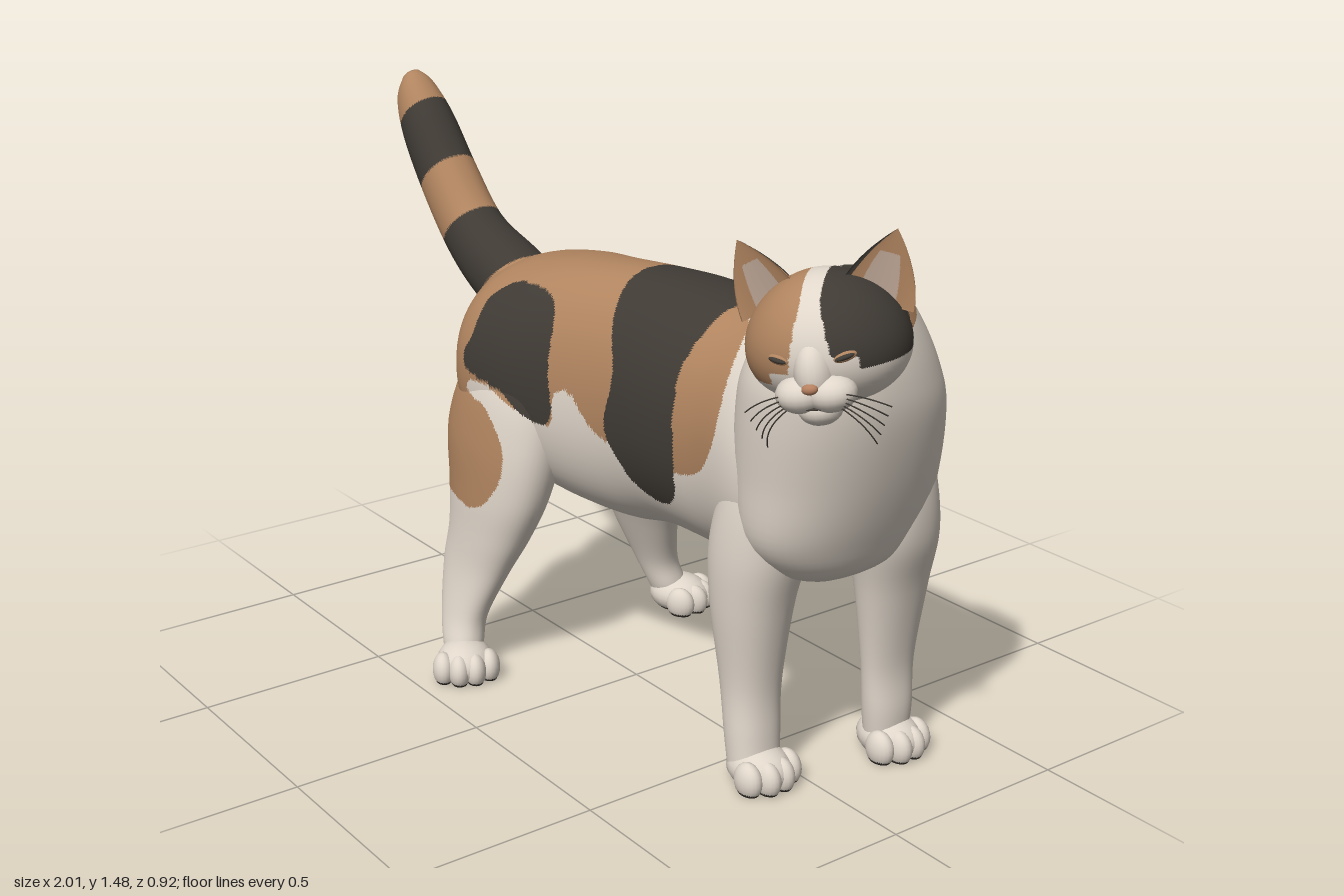
import * as THREE from 'three';
import { mergeGeometries } from 'three/addons/utils/BufferGeometryUtils.js';

const mat = (name, color) => Object.assign(new THREE.MeshStandardMaterial({ color }), { name });
const WHITE = 0, BROWN = 1, DARK = 2, INNER = 3;

// Smooth closed outline of a coat patch, in x and y
const patch = (pts) => new THREE.SplineCurve([...pts, pts[0]].map((p) => new THREE.Vector2(...p))).getPoints(90);
function inside(poly, x, y) {
  let hit = false;
  for (let i = 0, j = poly.length - 1; i < poly.length; j = i++) {
    const a = poly[i], b = poly[j];
    if (a.y > y !== b.y > y && x < ((b.x - a.x) * (y - a.y)) / (b.y - a.y) + a.x) hit = !hit;
  }
  return hit;
}
const stripe = patch([[0.02, 1.16], [0.1, 1], [0.14, 0.9], [0.12, 0.77], [0.17, 0.67], [0.22, 0.62], [0.29, 0.61],
  [0.34, 0.66], [0.35, 0.78], [0.34, 0.95], [0.33, 1.16]]);
const spot = patch([[-0.33, 1], [-0.27, 1.05], [-0.14, 1.05], [-0.08, 1], [-0.06, 0.87], [-0.05, 0.76], [-0.1, 0.73],
  [-0.2, 0.79], [-0.33, 0.82], [-0.355, 0.86], [-0.33, 0.92]]);
const saddle = patch([[-0.6, 1.2], [-0.6, 0.48], [-0.41, 0.48], [-0.26, 0.47], [-0.18, 0.55], [-0.17, 0.65], [-0.24, 0.74],
  [-0.33, 0.76], [-0.33, 0.79], [-0.27, 0.8], [-0.1, 0.74], [-0.05, 0.74], [-0.04, 0.82], [0.01, 0.83], [0.07, 0.76],
  [0.14, 0.73], [0.3, 0.71], [0.44, 0.74], [0.51, 0.83], [0.52, 0.92], [0.5, 1.01], [0.46, 1.07], [0.4, 1.1], [0.36, 1.2]]);

function bodyCoat(p) {
  if (p.x < -0.1 && p.y < 0.75 && Math.abs(p.z) < 0.14 + 0.3 * (0.75 - p.y)) return WHITE;
  if (-0.74 * p.x + 0.67 * p.y > 1.01 && p.x < -0.3 && Math.abs(p.z - 0.04) < 0.12) return DARK;
  if (inside(stripe, p.x, p.y) || inside(spot, p.x, p.y)) return DARK;
  return inside(saddle, p.x, p.y) ? BROWN : WHITE;
}
function tailCoat(p) {
  const s = -0.74 * p.x + 0.67 * p.y;
  return s < 1.01 ? BROWN : s < 1.23 ? DARK : s < 1.405 ? BROWN : s < 1.59 ? DARK : BROWN;
}
// Face patches in the head's own frame: white blaze, brown right, dark left with brown behind the ear
function headCoat(p) {
  const x = p.x, back = Math.max(0, -p.z);
  if (p.z < -0.15 || Math.abs(x) < 0.022 + 0.22 * Math.max(0, 0.1 - p.y)) return WHITE;
  if (p.y < (x > 0 ? -0.045 : -0.075) + 0.5 * back + (Math.abs(x) < 0.1 ? 0.03 : 0)) return WHITE;
  return x < 0 || (x > 0.09 && p.z < -0.06) ? BROWN : DARK;
}

// One group per colour; triangles that straddle a colour edge are split to keep the edge crisp
function paint(geo, coat, depth = 2) {
  const idx = geo.index.array, sets = [[], [], [], []];
  const corner = (i) => {
    const p = new THREE.Vector3().fromBufferAttribute(geo.attributes.position, i);
    return { p, n: new THREE.Vector3().fromBufferAttribute(geo.attributes.normal, i), c: coat(p) };
  };
  const half = (a, b) => {
    const p = a.p.clone().lerp(b.p, 0.5);
    return { p, n: a.n.clone().add(b.n).normalize(), c: coat(p) };
  };
  const emit = (a, b, c, d) => {
    if (d === 0 || (a.c === b.c && b.c === c.c)) {
      sets[b.c === c.c ? b.c : a.c].push(a, b, c);
      return;
    }
    const ab = half(a, b), bc = half(b, c), ca = half(c, a);
    for (const t of [[a, ab, ca], [ab, b, bc], [ca, bc, c], [ab, bc, ca]]) emit(...t, d - 1);
  };
  const corners = Array.from({ length: geo.attributes.position.count }, (_, i) => corner(i));
  for (let i = 0; i < idx.length; i += 3) emit(corners[idx[i]], corners[idx[i + 1]], corners[idx[i + 2]], depth);
  const all = sets.flat(), out = new THREE.BufferGeometry().setFromPoints(all.map((v) => v.p));
  out.setAttribute('normal', new THREE.Float32BufferAttribute(all.flatMap((v) => v.n.toArray()), 3));
  let start = 0;
  sets.forEach((s, m) => { if (s.length) out.addGroup(start, s.length, m); start += s.length; });
  return out;
}

// Closed skin through rows of numbers; place() turns a row and a ring direction into a point
function loft(rows, place, steps = 6, ring = 48) {
  const pts = [], idx = [], n = (rows.length - 1) * steps;
  const at = (i) => rows[Math.min(Math.max(i, 0), rows.length - 1)];
  const soft = (c) => Math.sign(c) * Math.abs(c) ** 0.93;
  for (let s = 0; s <= n; s++) {
    const i = Math.min(Math.floor(s / steps), rows.length - 2), t = s / steps - i;
    const row = at(i).map((b, k) => {
      const a = at(i - 1)[k], c = at(i + 1)[k], d = at(i + 2)[k];
      return b + 0.5 * t * (c - a + t * (2 * a - 5 * b + 4 * c - d + t * (3 * (b - c) + d - a)));
    });
    for (let j = 0; j < ring; j++) {
      const w = (j / ring) * Math.PI * 2;
      pts.push(place(row, soft(Math.cos(w)), soft(Math.sin(w))));
    }
  }
  for (let s = 0; s < n; s++) for (let j = 0; j < ring; j++) {
    const a = s * ring + j, b = s * ring + ((j + 1) % ring);
    idx.push(a, b, a + ring, b, b + ring, a + ring);
  }
  for (const [base, flip] of [[0, true], [n * ring, false]]) {
    pts.push(pts[base].clone().lerp(pts[base + ring / 2], 0.5));
    for (let j = 0; j < ring; j++) {
      const a = base + j, b = base + ((j + 1) % ring);
      idx.push(pts.length - 1, flip ? b : a, flip ? a : b);
    }
  }
  // Turn the skin outward
  let vol = 0;
  for (let i = 0; i < idx.length; i += 3) vol += pts[idx[i]].dot(pts[idx[i + 1]].clone().cross(pts[idx[i + 2]]));
  if (vol < 0) idx.reverse();
  const geo = new THREE.BufferGeometry().setFromPoints(pts);
  geo.setIndex(idx);
  geo.computeVertexNormals();
  return geo;
}
const mix = (a, b, c) => (a + b) / 2 + ((b - a) / 2) * c;
// Rows [x, bottom, top, zMin, zMax] and [y, xMin, xMax, zMin, zMax]
const alongX = (r, c, s) => new THREE.Vector3(r[0], mix(r[1], r[2], c), mix(r[3], r[4], s));
const alongY = (r, c, s) => new THREE.Vector3(mix(r[1], r[2], c), r[0], mix(r[3], r[4], s));
const alongTail = (r, c, s) => new THREE.Vector3(r[0] + 0.67 * r[2] * c, r[1] + 0.74 * r[2] * c, 0.06 + 0.9 * r[2] * s);

export function createModel() {
  const cat = new THREE.Group();
  const coatMats = [mat('whiteFur', 0xe0d6ca), mat('brownFur', 0xb0845f), mat('darkFur', 0x3f3a34), mat('innerEar', 0xbfa898)];
  const noseMat = mat('nosePink', 0xb5805f);
  const add = (parent, name, geo, material = coatMats) => {
    const m = new THREE.Mesh(geo, material);
    m.name = name;
    parent.add(m);
    return m;
  };
  const ball = (x, y, z, rx, ry, rz) => new THREE.SphereGeometry(1, 20, 12).scale(rx, ry, rz).translate(x, y, z);

  // Head frame, turned and tilted
  const head = new THREE.Group();
  head.name = 'head';
  head.position.set(0.78, 1.15, 0.06);
  head.rotation.set(0, 0.61, 0.15, 'YXZ');
  head.updateMatrix();
  cat.add(head);
  const toHead = head.matrix.clone().invert();

  // Trunk, neck and tail
  add(cat, 'body', paint(loft([[-0.53, 0.82, 0.92, 0, 0.06], [-0.505, 0.68, 0.99, -0.14, 0.18], [-0.4, 0.54, 1.07, -0.26, 0.285],
    [-0.25, 0.5, 1.105, -0.275, 0.285], [-0.1, 0.475, 1.12, -0.25, 0.245], [0.05, 0.465, 1.125, -0.27, 0.2],
    [0.2, 0.485, 1.12, -0.31, 0.175], [0.4, 0.475, 1.1, -0.335, 0.15], [0.6, 0.49, 1.09, -0.34, 0.175],
    [0.74, 0.55, 1.02, -0.29, 0.14], [0.8, 0.66, 0.95, -0.2, 0.08], [0.82, 0.78, 0.85, -0.1, 0]], alongX, 8, 64), bodyCoat));
  add(cat, 'neck', paint(loft([[0.51, 0.6, 0.7, -0.14, 0], [0.56, 0.55, 0.78, -0.25, 0.1], [0.65, 0.52, 0.825, -0.325, 0.17],
    [0.8, 0.49, 0.875, -0.33, 0.185], [0.95, 0.5, 0.91, -0.305, 0.195], [1.05, 0.53, 0.915, -0.262, 0.19],
    [1.15, 0.59, 0.9, -0.2, 0.15], [1.24, 0.66, 0.87, -0.125, 0.09], [1.275, 0.72, 0.82, -0.07, 0.05]], alongY), (p) =>
    p.y > 1.08 ? headCoat(p.clone().applyMatrix4(toHead)) : bodyCoat(p)));
  add(cat, 'tail', paint(loft([[-0.38, 0.96, 0.11], [-0.52, 1.015, 0.105], [-0.66, 1.085, 0.09], [-0.78, 1.205, 0.086],
    [-0.885, 1.335, 0.08], [-0.95, 1.42, 0.06], [-0.972, 1.462, 0.03]], alongTail), tailCoat));

  // Legs
  const hind = [[0.97, -0.38, -0.17, 0.1, 0.18], [0.8, -0.465, -0.1, 0.08, 0.28], [0.65, -0.505, -0.09, 0.09, 0.318],
    [0.5, -0.475, -0.115, 0.13, 0.33], [0.38, -0.458, -0.165, 0.17, 0.335], [0.27, -0.46, -0.22, 0.215, 0.345],
    [0.15, -0.42, -0.265, 0.265, 0.37], [0.07, -0.375, -0.26, 0.29, 0.39], [0.02, -0.355, -0.27, 0.31, 0.38]];
  const legs = {
    rightFrontLeg: [[0.88, 0.54, 0.7, 0, 0.11], [0.75, 0.5, 0.72, -0.02, 0.165], [0.6, 0.465, 0.71, -0.03, 0.186],
      [0.45, 0.475, 0.675, -0.01, 0.182], [0.25, 0.505, 0.645, 0.01, 0.16], [0.12, 0.53, 0.65, 0.02, 0.16], [0.03, 0.55, 0.66, 0.03, 0.16]],
    leftFrontLeg: [[0.88, 0.62, 0.8, -0.27, -0.12], [0.75, 0.6, 0.82, -0.31, -0.12], [0.6, 0.6, 0.81, -0.342, -0.12],
      [0.45, 0.62, 0.765, -0.345, -0.15], [0.25, 0.635, 0.73, -0.33, -0.18], [0.12, 0.635, 0.735, -0.325, -0.19], [0.03, 0.64, 0.73, -0.315, -0.2]],
    rightHindLeg: hind,
    leftHindLeg: hind.map(([y, a, b, c, d]) => [y, a, b, -d, -c]),
  };
  for (const [name, rows] of Object.entries(legs)) add(cat, name, paint(loft(rows, alongY), bodyCoat));

  // Paws with four soft toes and flat dark soles
  function paw(name, x, z, yaw) {
    const parts = [ball(0, 0.045, 0, 0.088, 0.055, 0.074)];
    [-0.06, -0.021, 0.021, 0.06].forEach((t) => parts.push(ball(0.058 - 7 * t * t, 0.038, t, 0.042, 0.046, 0.029)));
    const geo = mergeGeometries(parts).rotateY(yaw).translate(x, 0, z);
    const pos = geo.attributes.position;
    for (let i = 0; i < pos.count; i++) pos.setY(i, Math.max(0.004, pos.getY(i)) - 0.004);
    geo.computeVertexNormals();
    add(cat, name, paint(geo, (p) => (p.y < 0.008 ? DARK : WHITE), 1));
  }
  paw('rightFrontPaw', 0.625, 0.095, 0);
  paw('leftFrontPaw', 0.693, -0.262, 0);
  paw('rightHindPaw', -0.275, 0.362, -0.45);
  paw('leftHindPaw', -0.285, -0.362, 0.45);

  // Skull, fuller at the cheeks
  const skull = new THREE.SphereGeometry(1, 56, 40);
  const sp = skull.attributes.position;
  for (let i = 0; i < sp.count; i++) {
    const y = sp.getY(i);
    sp.setXYZ(i, sp.getX(i) * (0.182 - 0.02 * y), y * 0.15 - 0.005, sp.getZ(i) * (0.165 - 0.015 * y));
  }
  skull.computeVertexNormals();
  add(head, 'skull', paint(skull, headCoat));

  // Muzzle, chin and nose
  add(head, 'muzzle', mergeGeometries([ball(0.033, -0.09, 0.145, 0.056, 0.042, 0.052), ball(-0.033, -0.09, 0.145, 0.056, 0.042, 0.052),
    ball(0, -0.05, 0.135, 0.045, 0.075, 0.058), ball(0, -0.128, 0.125, 0.05, 0.038, 0.05)]), coatMats[WHITE]);
  add(head, 'nose', ball(0, -0.068, 0.191, 0.018, 0.012, 0.012), noseMat);
  add(head, 'mouth', ball(0, -0.116, 0.172, 0.028, 0.003, 0.012), coatMats[DARK]);

  for (const side of [-1, 1]) {
    const tag = side > 0 ? 'left' : 'right';
    // Half-closed eyes
    for (const [part, m, rx, ry, z] of [['Eyelid', BROWN, 0.026, 0.011, 0.149], ['Eye', DARK, 0.022, 0.006, 0.154]]) {
      const eye = add(head, tag + part, ball(0, 0, 0, rx, ry, 0.008), coatMats[m]);
      eye.position.set(side * 0.073, -0.012, z);
      eye.rotation.set(0, side * 0.4, side * 0.2);
    }
    // Cupped ears with rounded sides; the cup and the back differ in colour
    const ear = new THREE.ConeGeometry(0.078, 0.165, 40, 16).translate(0, 0.0825, 0);
    const ep = ear.attributes.position;
    const swell = (y) => 1.1 * (1 + (0.75 * y) / 0.165);
    for (let i = 0; i < ep.count; i++) {
      const z = ep.getZ(i);
      ep.setX(i, ep.getX(i) * swell(ep.getY(i)));
      ep.setZ(i, z * (z > 0 ? -0.2 : 0.75));
    }
    ear.computeVertexNormals();
    const earMesh = add(head, tag + 'Ear', paint(ear, (p) => {
      const r = 0.078 * (1 - p.y / 0.165), x = p.x / swell(p.y);
      const cup = -p.z < 0.45 * Math.sqrt(Math.max(0, r * r - x * x));
      if (cup && Math.abs(x) < 0.5 * r && p.y < 0.11) return INNER;
      if (cup && Math.abs(x) < 0.85 * r) return BROWN;
      if (side > 0) return x > 0.5 * r ? BROWN : DARK;
      return p.y > 0.045 && !cup ? DARK : BROWN;
    }));
    earMesh.position.set(side * 0.115, 0.066, 0.012);
    earMesh.rotation.set(0, side * 0.25, -side * 0.4);
    // Drooping whiskers
    for (let k = 0; k < 5; k++) {
      const curve = new THREE.QuadraticBezierCurve3(new THREE.Vector3(side * 0.06, -0.085 - k * 0.008, 0.175),
        new THREE.Vector3(side * 0.11, -0.085 - k * 0.016, 0.19), new THREE.Vector3(side * (0.16 - k * 0.01), -0.125 - k * 0.02, 0.15));
      add(head, tag + 'Whisker', new THREE.TubeGeometry(curve, 10, 0.0016, 5), coatMats[DARK]);
    }
  }
  return cat;
}
